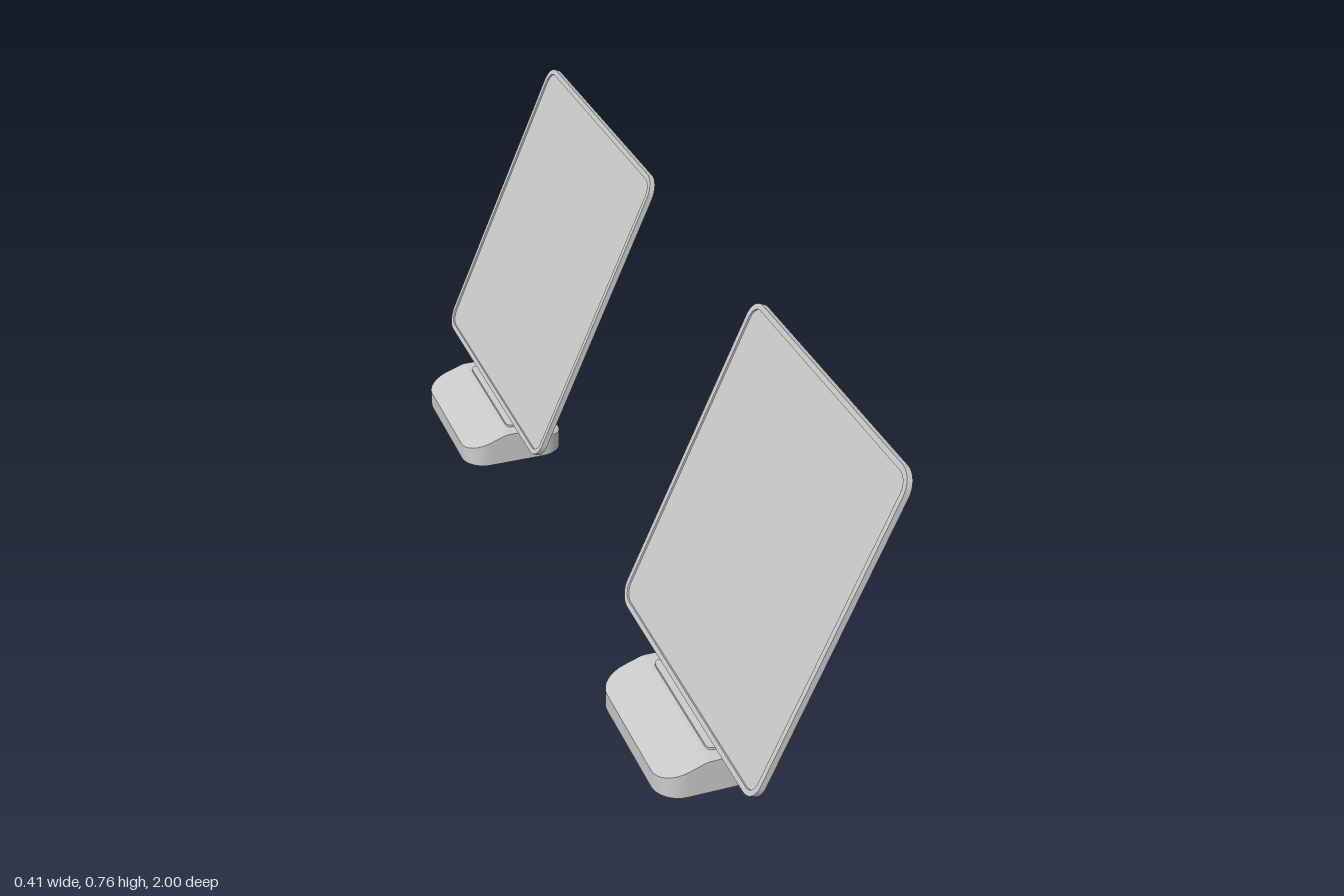
import * as THREE from 'three';
import { toCreasedNormals } from 'three/addons/utils/BufferGeometryUtils.js';

const grey = new THREE.MeshStandardMaterial({ color: 0xcccccc });
const thin = new THREE.MeshStandardMaterial({ color: 0xcccccc, side: THREE.DoubleSide });

function mesh(name, geometry, material = grey) {
  const m = new THREE.Mesh(geometry, material);
  m.name = name;
  return m;
}

// Rounded rectangle centred on the origin
function roundedRect(w, h, r, Type = THREE.Shape) {
  const s = new Type(), x = w / 2, y = h / 2;
  s.absarc(x - r, y - r, r, 0, Math.PI / 2);
  s.absarc(-x + r, y - r, r, Math.PI / 2, Math.PI);
  s.absarc(-x + r, -y + r, r, Math.PI, Math.PI * 1.5);
  s.absarc(x - r, -y + r, r, Math.PI * 1.5, Math.PI * 2);
  s.closePath();
  return s;
}

function slab(shape, depth) {
  const g = new THREE.ExtrudeGeometry(shape, { depth, bevelEnabled: false, curveSegments: 8 });
  return toCreasedNormals(g, 0.4);
}

// Hollow foot, open below: rounded plan under a ridged roof
function footGeometry() {
  const L = 0.1205, W = 0.182, R = 0.055, N = 8;
  const roof = (x) => {
    const a = Math.abs(x);
    if (a < 0.018) return 0.075;
    if (a < 0.03) return 0.075 - 0.0021 * ((a - 0.018) / 0.012) ** 2;
    return 0.0729 - (a - 0.03) * (0.0329 / (L - 0.03));
  };
  const half = [];
  for (let i = 0; i <= N; i++) {
    const t = (i / N) * Math.PI / 2;
    half.push([-L + R * (1 - Math.cos(t)), W - R * (1 - Math.sin(t))]);
  }
  for (const x of [-0.03, -0.024, -0.018]) half.push([x, W]);
  const stations = [...half, ...half.map(([x, w]) => [-x, w]).reverse()];
  const loop = [...stations, ...stations.map(([x, w]) => [x, -w]).reverse()];

  const pos = [];
  const quad = (a, b, c, d) => pos.push(...a, ...b, ...c, ...a, ...c, ...d);
  // Side walls
  loop.forEach(([x, z], i) => {
    const [x2, z2] = loop[(i + 1) % loop.length];
    quad([x, 0, z], [x2, 0, z2], [x2, roof(x2), z2], [x, roof(x), z]);
  });
  // Roof strips
  for (let i = 0; i < stations.length - 1; i++) {
    const [x, w] = stations[i], [x2, w2] = stations[i + 1];
    quad([x, roof(x), w], [x2, roof(x2), w2], [x2, roof(x2), -w2], [x, roof(x), -w]);
  }
  const g = new THREE.BufferGeometry();
  g.setAttribute('position', new THREE.Float32BufferAttribute(pos, 3));
  return toCreasedNormals(g, 0.4);
}

function createStand() {
  const stand = new THREE.Group();
  const size = 0.715, thickness = 0.0125, recess = 0.004, bezel = 0.012;

  // Leaning panel: a back plate with a raised rim around the display face
  const panel = new THREE.Group();
  panel.name = 'panel';
  const plate = slab(roundedRect(size, size, 0.042), thickness - recess);
  const rimShape = roundedRect(size, size, 0.042);
  rimShape.holes.push(roundedRect(size - 2 * bezel, size - 2 * bezel, 0.03, THREE.Path));
  const rim = slab(rimShape, recess);
  plate.translate(0, 0, -thickness / 2);
  rim.translate(0, 0, thickness / 2 - recess);
  for (const g of [plate, rim]) g.rotateY(-Math.PI / 2);
  panel.add(mesh('panelPlate', plate), mesh('panelRim', rim));
  panel.rotation.z = -0.407;
  panel.position.set(0.0545, 0.4285, 0);

  // Foot and the pad on its ridge
  const foot = mesh('foot', footGeometry(), thin);
  foot.position.x = -0.0835;
  const padGeometry = slab(roundedRect(0.026, 0.3, 0.0125), 0.008);
  padGeometry.rotateX(-Math.PI / 2);
  const pad = mesh('footPad', padGeometry);
  pad.position.set(-0.0835, 0.0725, 0);

  stand.add(panel, foot, pad);
  return stand;
}

export function createModel() {
  const model = new THREE.Group();
  model.name = 'panelStands';
  for (const side of [1, -1]) {
    const stand = createStand();
    stand.name = side > 0 ? 'frontStand' : 'backStand';
    stand.position.z = side * 0.6425;
    model.add(stand);
  }
  return model;
}
